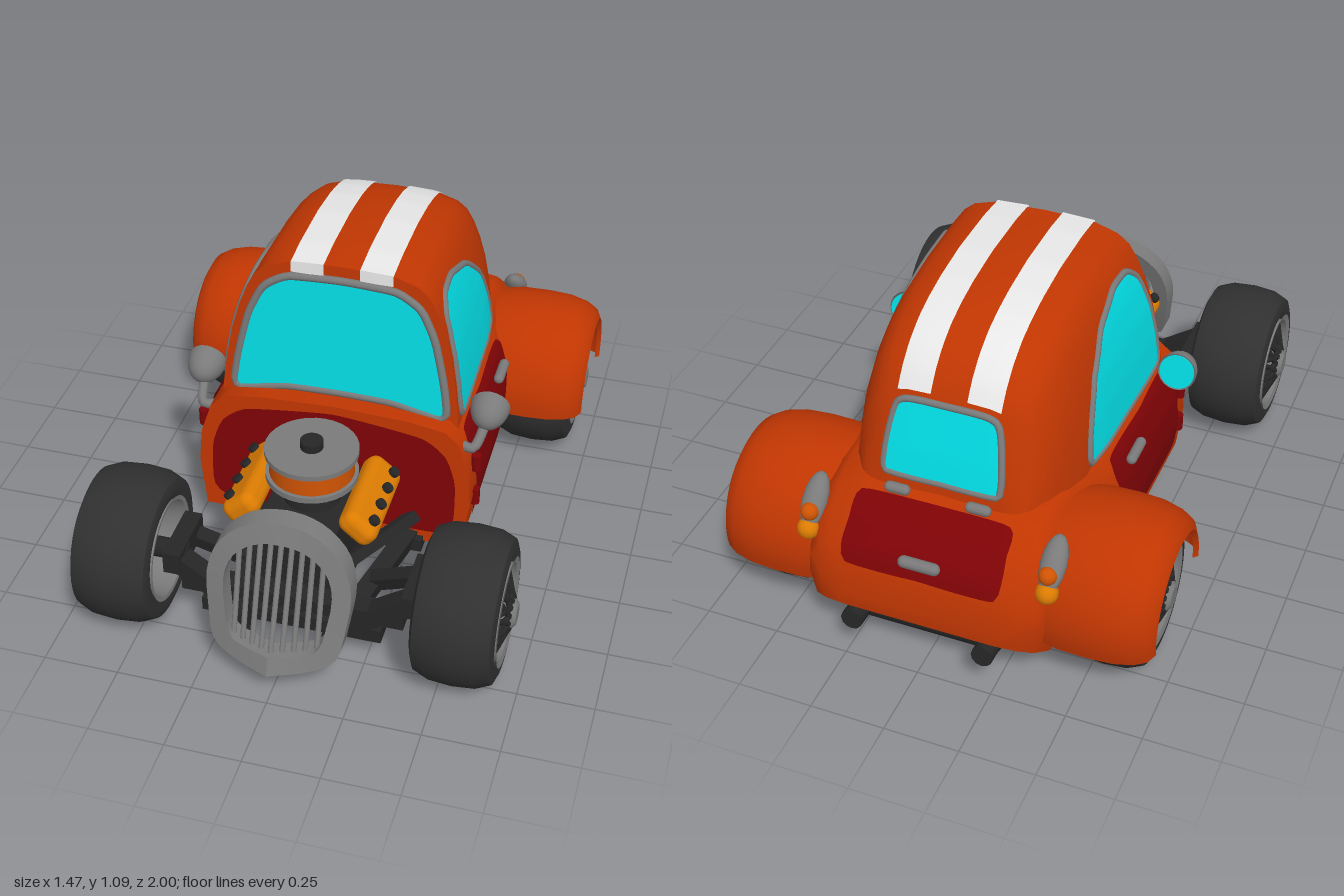
import * as THREE from 'three';
import { toCreasedNormals } from 'three/addons/utils/BufferGeometryUtils.js';
import { RoundedBoxGeometry } from 'three/addons/geometries/RoundedBoxGeometry.js';

const mat = (name, color) => new THREE.MeshStandardMaterial({ name, color, side: THREE.DoubleSide });
const orange = mat('orange paint', 0xc03602), red = mat('dark red paint', 0x7e0306), glass = mat('cyan glass', 0x02dce4);
const grey = mat('grey metal', 0x7a7a7a), white = mat('white stripe', 0xececec), amber = mat('amber', 0xdc7c02);
const rubber = mat('rubber', 0x303030), black = mat('black metal', 0x262626), filterOrange = mat('filter orange', 0xd05404);

const V = (x, y, z) => new THREE.Vector3(x, y, z);
const lerp = (t, x) => {
  let i = 1;
  while (i < t.length - 1 && x > t[i][0]) i++;
  const [a, b] = t[i - 1], [c, d] = t[i];
  return b + (d - b) * Math.min(1, Math.max(0, (x - a) / (c - a)));
};

function add(parent, name, geo, material, x = 0, y = 0, z = 0) {
  const m = new THREE.Mesh(geo, material);
  m.name = name;
  m.position.set(x, y, z);
  parent.add(m);
  return m;
}

// Skin over rows of points; repeat the first point or row to close it
function loft(rows, crease = 0.7) {
  const n = rows[0].length, idx = [];
  for (let i = 0; i < rows.length - 1; i++) for (let j = 0; j < n - 1; j++) {
    const a = i * n + j, b = a + n;
    idx.push(a, b, a + 1, b, b + 1, a + 1);
  }
  const g = new THREE.BufferGeometry().setFromPoints(rows.flat());
  g.setIndex(idx);
  return toCreasedNormals(g, crease);
}

// Straight bar between two points, round or square
function bar(parent, name, a, b, r, material, h = 0) {
  const d = b.clone().sub(a), l = d.length();
  const geo = h ? new THREE.BoxGeometry(r, l, h) : new THREE.CylinderGeometry(r, r, l, 12);
  const m = add(parent, name, geo, material);
  m.position.copy(a).add(b).multiplyScalar(0.5);
  m.quaternion.setFromUnitVectors(V(0, 1, 0), d.normalize());
}

const lathe = (pts, seg = 40, start = 0, len = Math.PI * 2) =>
  toCreasedNormals(new THREE.LatheGeometry(pts.map(p => new THREE.Vector2(...p)), seg, start, len).rotateZ(-Math.PI / 2), 0.7);

// Curved plate with a rounded outline, laid on a surface at a small offset
const outline = pts => new THREE.CatmullRomCurve3(pts.map(p => V(p[0], p[1], 0)), true, 'catmullrom', 0.25).getSpacedPoints(72);
function plate(parent, name, material, pts, map) {
  const o = outline(pts), c = V(0, 0, 0);
  o.slice(1).forEach(p => c.addScaledVector(p, 1 / 72));
  const rows = [0, 0.15, 0.3, 0.45, 0.6, 0.75, 0.9, 1].map(k => o.map(p =>
    map(c.x + (p.x - c.x) * k, c.y + (p.y - c.y) * k, 0.008)));
  add(parent, name, loft(rows), material);
}
// Glass pane with a slightly raised rim tube around it
function framedPane(parent, name, pts, map, r = 0.012) {
  plate(parent, name, glass, pts, map);
  const path = outline(pts).slice(1).map(p => map(p.x, p.y, 0.002));
  add(parent, name + 'Frame', new THREE.TubeGeometry(new THREE.CatmullRomCurve3(path, true), 90, r, 8, true), grey);
}
const mirrored = half => [...half, ...half.slice(1, -1).reverse().map(([x, y]) => [-x, y])];

// Arched shell: one profile [height, width] scaled by width, top and base tables along z
function shell(prof, W, T, B, lean) {
  const G = prof.slice(prof.findIndex(p => p[1] === 1)).map(([g, f]) => [f, g]).reverse();
  const base = z => lerp(B, z), height = z => lerp(T, z) - base(z);
  const row = z => {
    const half = prof.map(([g, f]) => [lerp(W, z) * f, base(z) + height(z) * g]);
    return [...half, ...half.slice(0, -1).reverse().map(([x, y]) => [-x, y]), half[0]].map(([x, y]) => V(x, y, z));
  };
  const front = T[T.length - 1][0];
  const frontZ = y => front + lean * (1 - (y - base(front)) / height(front));
  const zs = [...new Set([...W, ...T, ...B].map(p => p[0]))].sort((a, b) => a - b);
  const rows = zs.map(row);
  rows[rows.length - 1].forEach(p => { p.z = frontZ(p.y); });
  const cap = (r, y, z) => r.map(() => V(0, y, z));
  const my = base(front) + height(front) / 2;
  rows.unshift(cap(rows[0], base(zs[0]) + height(zs[0]) / 2, zs[0]));
  rows.push(cap(rows[0], my, frontZ(my)));
  return {
    geo: loft(rows), frontZ,
    x: (y, z) => lerp(W, z) * lerp(prof, (y - base(z)) / height(z)),
    y: (x, z) => base(z) + height(z) * lerp(G, Math.abs(x) / lerp(W, z)),
  };
}

function wheel(parent, name, z) {
  const g = new THREE.Group();
  g.name = name;
  g.position.set(0.556, 0.26, z);
  add(g, 'tyre', lathe([[0.17, -0.122], [0.205, -0.133], [0.232, -0.122], [0.252, -0.075], [0.258, 0], [0.252, 0.075], [0.232, 0.122], [0.205, 0.133], [0.17, 0.125]]), rubber);
  add(g, 'rim', lathe([[0.176, -0.13], [0.162, -0.128], [0.156, -0.05], [0.156, 0.06], [0.158, 0.13], [0.178, 0.136]]), grey);
  add(g, 'hub', lathe([[0, 0.165], [0.035, 0.165], [0.05, 0.152], [0.05, 0.1], [0.03, -0.1], [0, -0.1]], 20), grey);
  // Crossing spokes that meet at the hub and at the rim
  for (let i = 0; i < 12; i++) for (const s of [-0.52, 0.52]) {
    const a = i * Math.PI / 6, b = a + s;
    bar(g, 'spoke', V(0.145, 0.047 * Math.cos(a), 0.047 * Math.sin(a)), V(0.1, 0.157 * Math.cos(b), 0.157 * Math.sin(b)), 0.01, black);
  }
  parent.add(g);
}

export function createModel() {
  const car = new THREE.Group();
  car.name = 'hotRod';
  const side = new THREE.Group();
  side.name = 'leftSide';

  // Body tub and cabin
  const body = shell([[0, 0.95], [0.375, 1], [0.62, 0.98], [0.85, 0.905], [0.94, 0.8], [0.98, 0.53], [1, 0]],
    [[-0.985, 0.27], [-0.97, 0.34], [-0.94, 0.39], [-0.88, 0.42], [-0.5, 0.43], [-0.42, 0.465], [0.22, 0.472]],
    [[-0.985, 0.25], [-0.97, 0.34], [-0.94, 0.42], [-0.87, 0.5], [-0.79, 0.565], [-0.7, 0.595], [0.22, 0.6]],
    [[-0.985, 0.2], [-0.94, 0.17], [-0.87, 0.13], [-0.8, 0.12], [0.22, 0.12]], 0.03);
  add(car, 'body', body.geo, orange);
  const cabin = shell([[0, 1], [0.12, 0.985], [0.3, 0.955], [0.48, 0.912], [0.65, 0.85], [0.78, 0.785], [0.88, 0.71], [0.94, 0.615], [0.985, 0.43], [1, 0]],
    [[-0.79, 0.24], [-0.745, 0.29], [-0.69, 0.325], [-0.6, 0.357], [-0.5, 0.377], [-0.35, 0.392], [-0.1, 0.4], [0.11, 0.408]],
    [[-0.79, 0.54], [-0.745, 0.7], [-0.69, 0.87], [-0.65, 0.93], [-0.59, 0.985], [-0.52, 1.025], [-0.45, 1.05], [-0.35, 1.07], [-0.2, 1.086], [0, 1.086], [0.11, 1.076]],
    [[-0.79, 0.53], [0.11, 0.53]], 0.045);
  add(car, 'cabin', cabin.geo, orange);

  // Firewall and floor
  plate(car, 'firewall', red, mirrored([[0, 0.17], [0.36, 0.17], [0.42, 0.22], [0.42, 0.38], [0.385, 0.48], [0.3, 0.54], [0, 0.575]]),
    (x, y, o) => V(x, y, body.frontZ(y) + o));
  add(car, 'floor', new THREE.BoxGeometry(0.5, 0.008, 0.9), red, 0, 0.117, -0.25);

  // Windscreen and rear window
  framedPane(car, 'windscreen', mirrored([[0, 0.61], [0.18, 0.605], [0.358, 0.575], [0.35, 0.7], [0.313, 0.86], [0.263, 0.965], [0.18, 1.016], [0, 1.026]]),
    (x, y, o) => V(x, y, cabin.frontZ(y) + o), 0.014);
  framedPane(car, 'rearWindow', [[0.165, -0.7], [0.19, -0.768], [0, -0.772], [-0.19, -0.768], [-0.165, -0.7], [0, -0.697]],
    (x, z, o) => V(x, cabin.y(x, z) + o / 2, z - o));

  // Roof stripe, from the strip above the windscreen to the rear window
  const xs = [0.06, 0.097, 0.133, 0.17];
  const stripe = [xs.map(x => V(x, 1.035, cabin.frontZ(1.035) + 0.004)), xs.map(x => V(x, cabin.y(x, 0.11) + 0.005, 0.115))];
  for (let z = 0.1; z > -0.695; z -= 0.0225) stripe.push(xs.map(x => V(x, cabin.y(x, z) + 0.005, z - (z < -0.5 ? 0.004 : 0))));
  add(side, 'roofStripe', loft(stripe), white);

  // Side window and door with handle and hinges
  framedPane(side, 'sideWindow', [[0.105, 0.575], [0.1, 0.8], [0.07, 0.92], [0.01, 0.972], [-0.1, 0.975], [-0.25, 0.925], [-0.37, 0.82], [-0.445, 0.68], [-0.462, 0.562], [-0.2, 0.558]],
    (z, y, o) => V(cabin.x(y, z) + o - 0.002, y, z));
  plate(side, 'door', red, [[0.155, 0.19], [0.155, 0.36], [0.155, 0.535], [-0.12, 0.537], [-0.4, 0.535], [-0.4, 0.42], [-0.34, 0.31], [-0.325, 0.19], [-0.1, 0.19]],
    (z, y, o) => V(body.x(y, z) + o, y, z));
  add(side, 'doorHandle', new THREE.CapsuleGeometry(0.018, 0.09, 4, 10).rotateX(Math.PI / 2), grey, 0.465, 0.492, -0.272);
  for (const y of [0.29, 0.43]) add(side, 'doorHinge', new THREE.CylinderGeometry(0.017, 0.017, 0.06, 10), red, 0.475, y, 0.168);

  // Boot lid
  plate(car, 'bootLid', red, [[0.25, -0.81], [0.262, -0.88], [0.255, -0.958], [0, -0.962], [-0.255, -0.958], [-0.262, -0.88], [-0.25, -0.81], [0, -0.81]],
    (x, z, o) => V(x, body.y(x, z) + o, z - o));
  add(car, 'bootHandle', new THREE.CapsuleGeometry(0.02, 0.1, 4, 10).rotateZ(Math.PI / 2), grey, 0, 0.42, -0.952);
  add(side, 'bootHinge', new THREE.CapsuleGeometry(0.018, 0.05, 4, 10).rotateZ(Math.PI / 2), grey, 0.135, 0.567, -0.8);

  // Rear fender and tail lamp
  add(side, 'rearFender', lathe([[0.275, 0.37], [0.288, 0.44], [0.29, 0.54], [0.285, 0.62], [0.27, 0.68], [0.248, 0.718], [0.215, 0.735], [0.2, 0.72]], 28, Math.PI - 0.25, Math.PI + 0.3), orange, 0, 0.265, -0.64);
  const lamp = add(side, 'tailLampHousing', new THREE.SphereGeometry(1, 16, 12), grey, 0.4, 0.475, -0.85);
  lamp.scale.set(0.042, 0.035, 0.095);
  lamp.rotation.x = -0.8;
  add(side, 'tailLight', new THREE.SphereGeometry(0.03, 14, 10), filterOrange, 0.398, 0.462, -0.892);
  add(side, 'turnSignal', new THREE.SphereGeometry(0.037, 14, 10), amber, 0.4, 0.405, -0.905);

  // Door mirror, tipped slightly upward
  const mirror = new THREE.Group();
  mirror.name = 'mirror';
  mirror.position.set(0.492, 0.587, 0.055);
  mirror.rotation.x = 0.2;
  add(mirror, 'mirrorShell', new THREE.SphereGeometry(0.066, 20, 10, 0, Math.PI * 2, 0, Math.PI / 2).rotateX(Math.PI / 2).scale(1, 1, 1.45), grey);
  add(mirror, 'mirrorGlass', new THREE.CylinderGeometry(0.06, 0.06, 0.006, 20).rotateX(Math.PI / 2), glass);
  side.add(mirror);
  add(side, 'mirrorStem', new THREE.TubeGeometry(new THREE.CatmullRomCurve3([V(0.43, 0.5, 0.18), V(0.465, 0.505, 0.19), V(0.49, 0.555, 0.1)]), 12, 0.017, 8), grey);

  // Wheels and axles
  wheel(side, 'frontWheel', 0.663);
  wheel(side, 'rearWheel', -0.636);
  bar(side, 'frontStub', V(0.36, 0.26, 0.663), V(0.6, 0.26, 0.663), 0.035, black);
  bar(car, 'rearAxle', V(-0.55, 0.26, -0.636), V(0.55, 0.26, -0.636), 0.03, black);

  // Chassis rails, suspension arms and braces
  add(side, 'upright', new THREE.BoxGeometry(0.06, 0.08, 0.22), black, 0.395, 0.265, 0.63);
  for (const [a, b, w, h] of [
    [V(0.15, 0.125, 0.8), V(0.27, 0.125, 0.22), 0.06, 0.07], [V(0.27, 0.125, 0.24), V(0.27, 0.11, -0.75), 0.06, 0.05],
    [V(0.18, 0.12, 0.7), V(0.4, 0.27, 0.7), 0.06, 0.07], [V(0.2, 0.13, 0.5), V(0.4, 0.26, 0.57), 0.05, 0.05],
    [V(0.3, 0.22, 0.22), V(0.13, 0.2, 0.5), 0.04, 0.04], [V(0.27, 0.11, -0.75), V(0.2, 0.12, -0.88), 0.05, 0.04],
  ]) bar(side, 'chassisBar', a, b, w, black, h);
  for (const [z, w] of [[0.7, 0.6], [0.24, 0.64], [-0.72, 0.6]])
    add(car, 'crossMember', new THREE.BoxGeometry(w, 0.05, 0.07), black, 0, 0.115, z);
  add(car, 'axleBeam', new THREE.BoxGeometry(0.74, 0.05, 0.07), black, 0, 0.18, 0.69);

  // Exhaust
  bar(side, 'exhaustPipe', V(0.1, 0.115, 0.45), V(0.13, 0.115, -0.85), 0.035, black);
  bar(side, 'exhaustTip', V(0.222, 0.145, -0.86), V(0.222, 0.155, -1), 0.036, black);
  bar(car, 'muffler', V(-0.24, 0.135, -0.88), V(0.24, 0.135, -0.88), 0.048, black);

  // Engine with valve covers and air cleaner
  add(car, 'engineBlock', new THREE.BoxGeometry(0.26, 0.28, 0.34), black, 0, 0.29, 0.47);
  add(car, 'gearbox', new THREE.BoxGeometry(0.22, 0.2, 0.22), black, 0, 0.25, 0.26);
  add(car, 'intake', new THREE.CylinderGeometry(0.08, 0.1, 0.14, 16), black, 0, 0.47, 0.47);
  const cover = new THREE.Group();
  cover.name = 'valveCover';
  cover.position.set(0.192, 0.45, 0.47);
  cover.rotation.z = -0.7;
  add(cover, 'coverShell', new RoundedBoxGeometry(0.13, 0.085, 0.345, 4, 0.035), amber);
  for (let i = 0; i < 4; i++) add(cover, 'coverBolt', new THREE.CylinderGeometry(0.018, 0.018, 0.03, 10), black, 0.02, 0.043, -0.125 + i * 0.083);
  side.add(cover);
  for (const [name, r, h, y, m] of [['filterBase', 0.15, 0.02, 0.525, grey], ['filter', 0.138, 0.08, 0.57, filterOrange], ['filterLid', 0.152, 0.018, 0.615, grey], ['filterKnob', 0.037, 0.03, 0.637, black]])
    add(car, name, new THREE.CylinderGeometry(r, r, h, 32), m, 0, y, 0.47);

  // Radiator grille: a leaning ring, flat at the top and V-shaped at the foot, and its bars
  const grilleZ = (x, y) => 0.8 + (0.57 - y) * (0.43 - 0.87 * Math.abs(x));
  const smooth = half => new THREE.SplineCurve(half.map(p => new THREE.Vector2(...p))).getPoints(20).map(p => [p.x, p.y]);
  const outer = mirrored(smooth([[0, 0.115], [0.12, 0.118], [0.2, 0.15], [0.223, 0.25], [0.234, 0.37], [0.204, 0.47], [0.14, 0.535], [0.07, 0.565], [0, 0.573]]));
  const innerHalf = smooth([[0, 0.172], [0.1, 0.172], [0.145, 0.19], [0.165, 0.26], [0.176, 0.36], [0.155, 0.435], [0.105, 0.483], [0.05, 0.505], [0, 0.51]]);
  const inner = mirrored(innerHalf);
  const ring = outer.map(([x, y], i) => {
    const [u, v] = inner[i], f = grilleZ(x, y), g = grilleZ(u, v);
    return [V(x, y, f), V(u, v, g), V(u, v, g - 0.07), V(x, y, f - 0.07), V(x, y, f)];
  });
  add(car, 'grilleSurround', loft([...ring, ring[0]], 0.6), grey);
  const archTop = innerHalf.slice(10).reverse();
  for (let i = -4; i <= 4; i++) {
    const x = i * 0.034, t = lerp(archTop, Math.abs(x)) + 0.01;
    bar(car, 'grilleBar', V(x, 0.165, grilleZ(x, 0.165) - 0.03), V(x, t, grilleZ(x, t) - 0.03), 0.009, grey);
  }

  // Mirror the side parts
  const other = side.clone();
  other.name = 'rightSide';
  other.scale.x = -1;
  car.add(side, other);
  return car;
}
